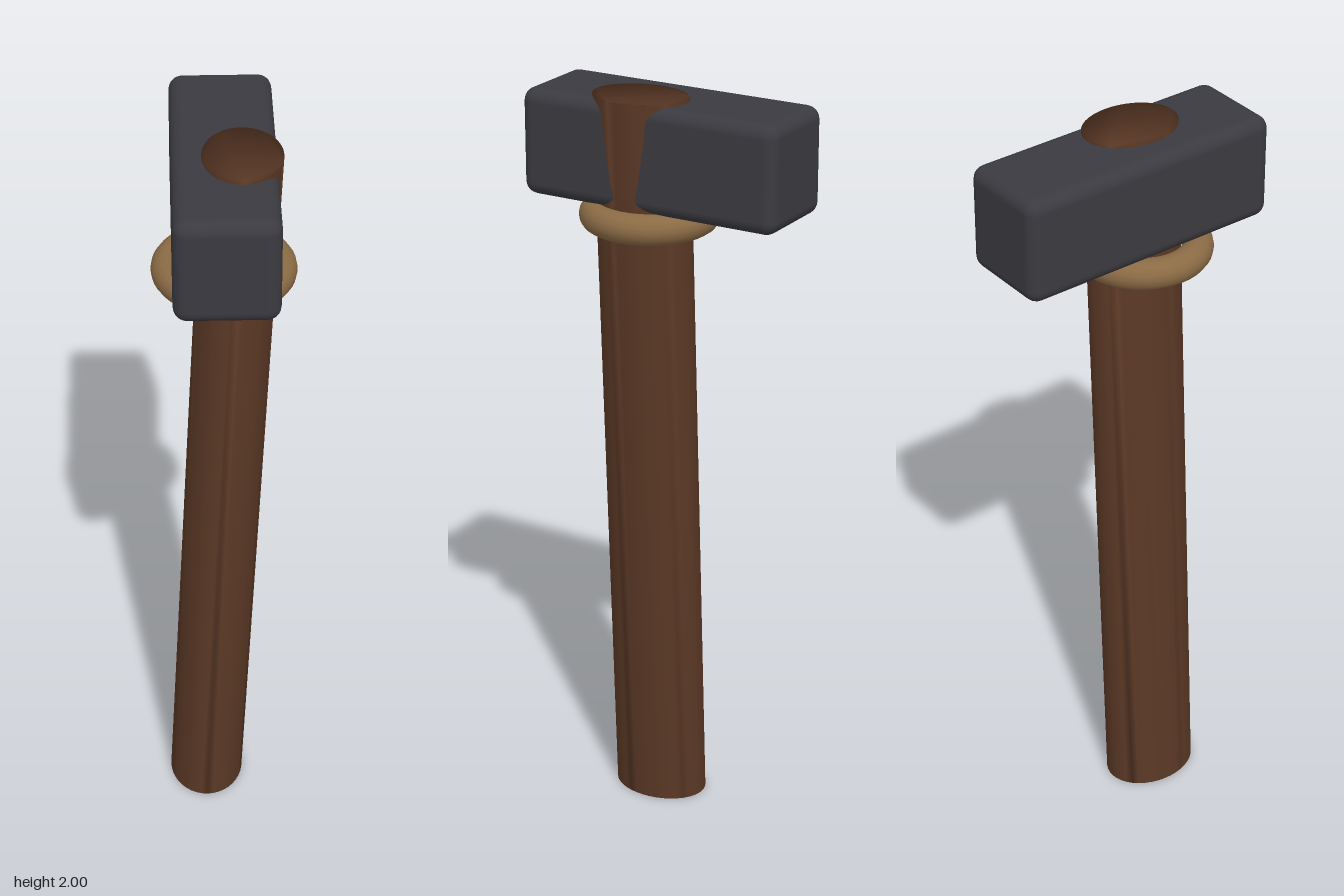
import * as THREE from 'three';
import { mergeVertices } from 'three/addons/utils/BufferGeometryUtils.js';
import { RoundedBoxGeometry } from 'three/addons/geometries/RoundedBoxGeometry.js';

function material(name, color) {
  const m = new THREE.MeshStandardMaterial({ color });
  m.name = name;
  return m;
}

// Leaning oval shaft with level ends, shaded smoothly across its rims
function handleGeometry() {
  const oval = new THREE.Shape();
  oval.absellipse(0, 0, 0.1, 0.13, 0, Math.PI * 2);
  let geo = new THREE.ExtrudeGeometry(oval, { depth: 2, bevelEnabled: false, curveSegments: 20 });
  geo.rotateX(-Math.PI / 2);
  const lean = new THREE.Matrix4().set(
    1, 0.0475, 0, -0.05,
    0, 1, 0, 0,
    0, 0, 1, 0.058,
    0, 0, 0, 1);
  geo.applyMatrix4(lean);
  geo.deleteAttribute('normal');
  geo.deleteAttribute('uv');
  geo = mergeVertices(geo, 1e-4);
  geo.computeVertexNormals();
  return geo;
}

export function createModel() {
  const group = new THREE.Group();
  group.name = 'hammer';

  const add = (name, geometry, mat, x = 0, y = 0, z = 0) => {
    const mesh = new THREE.Mesh(geometry, mat);
    mesh.name = name;
    mesh.position.set(x, y, z);
    group.add(mesh);
  };

  add('handle', handleGeometry(), material('brown wood', 0x5a3825));

  // Heavy block head with softened edges
  add('head', new RoundedBoxGeometry(0.26, 0.28, 0.734, 3, 0.035),
    material('dark iron', 0x3a3a40), 0, 1.855, 0);

  // Binding ring just under the head
  const ring = new THREE.TorusGeometry(0.142, 0.04, 16, 48);
  ring.rotateX(Math.PI / 2);
  add('bindingRing', ring, material('tan binding', 0x8b6b45), 0, 1.68, 0.06);

  return group;
}
